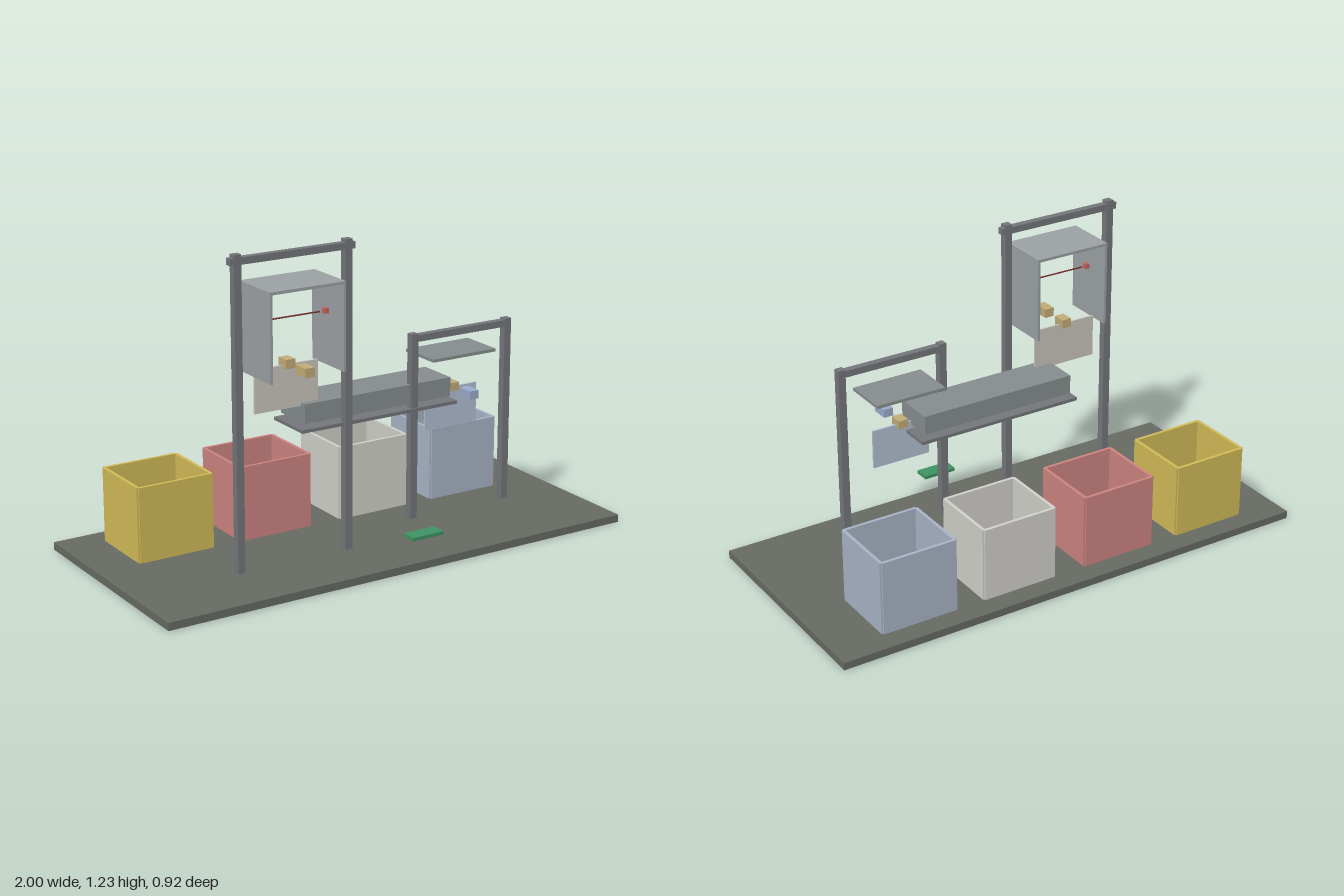
import * as THREE from 'three';

const materials = new Map();
function mat(color) {
  if (!materials.has(color)) materials.set(color, new THREE.MeshStandardMaterial({ color }));
  return materials.get(color);
}

// Box given by its extents [min, max] on each axis
function block(parent, name, color, [x0, x1], [y0, y1], [z0, z1]) {
  const mesh = new THREE.Mesh(new THREE.BoxGeometry(x1 - x0, y1 - y0, z1 - z0), mat(color));
  mesh.position.set((x0 + x1) / 2, (y0 + y1) / 2, (z0 + z1) / 2);
  mesh.name = name;
  parent.add(mesh);
  return mesh;
}

function group(parent, name) {
  const g = new THREE.Group();
  g.name = name;
  parent.add(g);
  return g;
}

const STEEL = 0x75777c, PANEL = 0x9da2a5, BEAM = 0x878e90, BEIGE = 0xc4ad78;

// Open bin: floor and four walls centred on the footprint edges
function addBin(parent, name, color, x) {
  const bin = group(parent, name);
  const w = 0.153, d = 0.139, t = 0.0065, y = [0.03, 0.325], zc = -0.33;
  block(bin, 'binFloor', color, [x - w, x + w], [0.03, 0.043], [zc - d, zc + d]);
  for (const s of [-1, 1]) {
    block(bin, 'binSideWall', color, [x + s * w - t, x + s * w + t], y, [zc - d, zc + d]);
    block(bin, 'binEndWall', color, [x - w, x + w], y, [zc + s * d - t, zc + s * d + t]);
  }
}

// Two posts joined by a crossbar
function addFrame(parent, name, xs, y, barX, barY, z) {
  const frame = group(parent, name);
  for (const x of xs) block(frame, 'post', STEEL, [x - 0.015, x + 0.015], y, [z - 0.015, z + 0.015]);
  block(frame, 'crossbar', STEEL, barX, barY, [z - 0.014, z + 0.014]);
}

export function createModel() {
  const model = new THREE.Group();
  model.name = 'sortingStation';

  block(model, 'basePlate', 0x686b63, [-1, 1], [0, 0.03], [-0.56, 0.36]);

  // Row of bins at the back
  addBin(model, 'yellowBin', 0xd3bc59, -0.67);
  addBin(model, 'redBin', 0xcd8580, -0.24);
  addBin(model, 'whiteBin', 0xd3d2cc, 0.207);
  addBin(model, 'blueBin', 0xa9b5c7, 0.637);

  addFrame(model, 'tallFrame', [-0.565, -0.102], [0.035, 1.228], [-0.595, -0.075], [1.19, 1.216], 0.1);
  addFrame(model, 'shortFrame', [0.205, 0.636], [0.09, 0.822], [0.19, 0.652], [0.79, 0.816], 0.08);

  // Hood with sensor rod inside the tall frame
  const hood = group(model, 'hood');
  block(hood, 'hoodTop', PANEL, [-0.49, -0.174], [1.09, 1.101], [-0.008, 0.207]);
  for (const x of [-0.485, -0.179])
    block(hood, 'hoodSide', PANEL, [x - 0.005, x + 0.005], [0.765, 1.09], [-0.008, 0.207]);
  for (const x of [-0.47, -0.195])
    block(hood, 'sensor', 0xc7655f, [x - 0.009, x + 0.009], [0.963, 0.983], [0.092, 0.112]);
  const rod = new THREE.Mesh(new THREE.CylinderGeometry(0.003, 0.003, 0.23, 8), mat(0x7a2f2c));
  rod.rotation.z = Math.PI / 2;
  rod.position.set(-0.335, 0.972, 0.102);
  rod.name = 'sensorRod';
  hood.add(rod);

  // Hanging plate and blocks below the hood
  const tall = group(model, 'tallPickup');
  block(tall, 'plate', 0xcac7be, [-0.47, -0.2], [0.613, 0.78], [0.05, 0.058]);
  block(tall, 'frontBlock', BEIGE, [-0.352, -0.312], [0.77, 0.805], [0.15, 0.216]);
  block(tall, 'rearBlock', BEIGE, [-0.352, -0.312], [0.77, 0.805], [0.03, 0.082]);

  // Canopy, plate and blocks at the short frame
  const short = group(model, 'shortPickup');
  block(short, 'canopy', BEAM, [0.277, 0.567], [0.704, 0.716], [-0.07, 0.112]);
  block(short, 'plate', 0xb3bfd2, [0.3, 0.54], [0.41, 0.565], [0.02, 0.028]);
  block(short, 'frontBlock', 0x9badcb, [0.4, 0.44], [0.555, 0.588], [0.112, 0.18]);
  block(short, 'rearBlock', BEIGE, [0.4, 0.44], [0.555, 0.588], [-0.001, 0.052]);

  // Central conveyor body on its shelf
  const conveyor = group(model, 'conveyor');
  block(conveyor, 'conveyorBody', BEAM, [-0.275, 0.376], [0.55, 0.625], [-0.083, 0.085]);
  block(conveyor, 'conveyorShelf', STEEL, [-0.295, 0.397], [0.52, 0.533], [-0.1, 0.1]);

  block(model, 'greenBoard', 0x3f9464, [0.02, 0.157], [0.12, 0.133], [0.3, 0.362]);

  return model;
}
